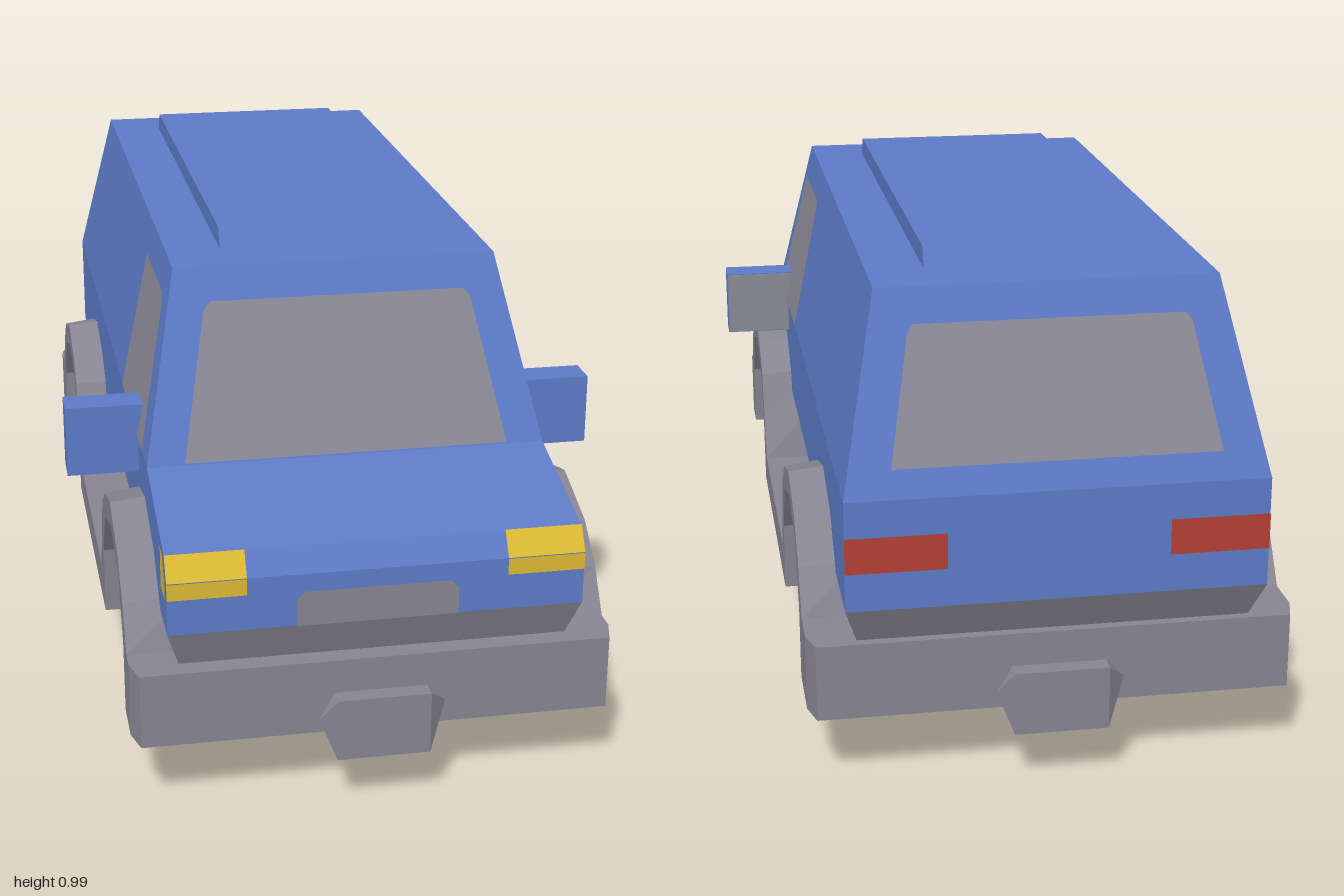
import * as THREE from 'three';
import { toCreasedNormals } from 'three/addons/utils/BufferGeometryUtils.js';
import { ConvexGeometry } from 'three/addons/geometries/ConvexGeometry.js';

const material = (name, color) => {
  const m = new THREE.MeshStandardMaterial({ color });
  m.name = name;
  return m;
};

export function createModel() {
  const van = new THREE.Group();
  van.name = 'van';
  const paint = material('blue paint', 0x5c7ac6);
  const trim = material('grey trim', 0x868491);
  const glass = material('window grey', 0x8a8996);
  const amber = material('headlight yellow', 0xdcb832);
  const red = material('tail light red', 0xb23f33);
  const rubber = material('tyre black', 0x2e2e30);

  const add = (name, geometry, mat, parent = van) => {
    const mesh = new THREE.Mesh(geometry, mat);
    mesh.name = name;
    parent.add(mesh);
    return mesh;
  };
  const box = (name, mat, w, h, d, x, y, z) =>
    add(name, new THREE.BoxGeometry(w, h, d).translate(x, y, z), mat);

  // Body shell: stacked rectangles [y, half width, front z, back z]
  const levels = [
    [0.2, 0.347, 0.866, -0.875], [0.37, 0.4, 0.93, -0.96], [0.475, 0.4, 0.93, -0.96],
    [0.52, 0.4, 0.9, -0.96], [0.585, 0.4, 0.635, -0.96], [0.945, 0.325, 0.49, -0.82],
  ];
  const rings = levels.map(([y, w, f, b]) => [[w, y, f], [w, y, b], [-w, y, b], [-w, y, f]]);
  const verts = [];
  const quad = (a, b, c, d) => verts.push(...a, ...b, ...c, ...a, ...c, ...d);
  for (let j = 0; j < rings.length - 1; j++) {
    for (let i = 0; i < 4; i++) {
      const k = (i + 1) % 4;
      quad(rings[j][i], rings[j][k], rings[j + 1][k], rings[j + 1][i]);
    }
  }
  quad(...rings[rings.length - 1]);
  const shell = new THREE.BufferGeometry();
  shell.setAttribute('position', new THREE.Float32BufferAttribute(verts, 3));
  shell.computeVertexNormals();
  shell.addGroup(0, 24, 0);
  shell.addGroup(24, verts.length / 3 - 24, 1);
  add('body', shell, [trim, paint]);

  // Raised roof panel with sloped ends
  const roof = new THREE.BoxGeometry(0.43, 0.045, 1.09);
  const rp = roof.attributes.position;
  for (let i = 0; i < rp.count; i++) if (rp.getY(i) > 0) rp.setZ(i, rp.getZ(i) * 0.953);
  roof.computeVertexNormals();
  add('roofPanel', roof.translate(0, 0.9625, -0.163), paint);

  // Flat painted panel: convex corners in counter-clockwise order, lifted off the body
  const panel = (name, mat, corners) => {
    const pts = corners.map((c) => new THREE.Vector3(...c));
    const n = new THREE.Triangle(pts[0], pts[1], pts[2]).getNormal(new THREE.Vector3());
    const tris = [];
    for (let i = 1; i < pts.length - 1; i++) tris.push(pts[0], pts[i], pts[i + 1]);
    const g = new THREE.BufferGeometry().setFromPoints(tris);
    g.translate(n.x * 0.003, n.y * 0.003, n.z * 0.003);
    g.computeVertexNormals();
    add(name, g, mat);
  };
  const pair = (name, mat, corners) => {
    panel(name + 'Left', mat, corners);
    panel(name + 'Right', mat, corners.map(([x, y, z]) => [-x, y, z]).reverse());
  };
  const rise = (y) => (y - 0.585) / 0.36;

  // Windows
  panel('windshield', glass,
    [[-0.325, 0.588], [0.325, 0.588], [0.27, 0.865], [0.255, 0.88], [-0.255, 0.88], [-0.27, 0.865]]
      .map(([x, y]) => [x, y, 0.635 - 0.145 * rise(y)]));
  panel('rearWindow', glass,
    [[0.31, 0.636], [-0.31, 0.636], [-0.267, 0.865], [-0.255, 0.88], [0.255, 0.88], [0.267, 0.865]]
      .map(([x, y]) => [x, y, -0.96 + 0.14 * rise(y)]));
  pair('sideWindow', glass,
    [[0.555, 0.588], [0.165, 0.588], [0.165, 0.88], [0.44, 0.88], [0.463, 0.86]]
      .map(([z, y]) => [0.4 - 0.075 * rise(y), y, z]));

  // Lights and grille
  pair('headlightLower', amber,
    [[0.25, 0.442, 0.93], [0.4, 0.442, 0.93], [0.4, 0.475, 0.93], [0.25, 0.475, 0.93]]);
  pair('headlightUpper', amber,
    [[0.25, 0.475, 0.93], [0.4, 0.475, 0.93], [0.4, 0.52, 0.9], [0.25, 0.52, 0.9]]);
  pair('headlightSide', amber,
    [[0.4, 0.442, 0.93], [0.4, 0.442, 0.865], [0.4, 0.525, 0.865], [0.4, 0.52, 0.9], [0.4, 0.475, 0.93]]);
  pair('tailLight', red,
    [[0.4, 0.445, -0.96], [0.21, 0.445, -0.96], [0.21, 0.515, -0.96], [0.4, 0.515, -0.96]]);
  panel('grille', trim,
    [[-0.155, 0.37], [0.155, 0.37], [0.155, 0.425], [0.14, 0.44], [-0.14, 0.44], [-0.155, 0.425]]
      .map(([x, y]) => [x, y, 0.93]));

  // Side trim: arches and sill in one profile (z, y)
  const wheelZ = [0.576, -0.534];
  const opening = [[-0.217, 0.145], [-0.21, 0.29], [-0.14, 0.4], [0, 0.442],
    [0.14, 0.4], [0.21, 0.29], [0.217, 0.145]];
  const outline = [
    [0.85, 0.145], [0.85, 0.295], [0.81, 0.39], [0.73, 0.455], [0.576, 0.505], [0.45, 0.475],
    [0.36, 0.42], [0.32, 0.34], [0.285, 0.22], [-0.25, 0.22], [-0.285, 0.34], [-0.325, 0.42],
    [-0.4, 0.47], [-0.534, 0.505], [-0.68, 0.465], [-0.77, 0.39], [-0.81, 0.295], [-0.85, 0.295],
    [-0.85, 0.145],
    ...opening.map(([z, y]) => [z + wheelZ[1], y]),
    ...opening.map(([z, y]) => [z + wheelZ[0], y]),
  ];
  const profile = new THREE.Shape(outline.map(([z, y]) => new THREE.Vector2(z, y)));
  for (const s of [1, -1]) {
    const g = new THREE.ExtrudeGeometry(profile, { depth: 0.12, bevelEnabled: false });
    g.rotateY(-Math.PI / 2).translate(s > 0 ? 0.47 : -0.35, 0, 0);
    // Pull the outer rim of each arch in so its top slopes
    const p = g.attributes.position;
    for (let i = 0; i < p.count; i++) {
      const y = p.getY(i), z = p.getZ(i), c = wheelZ[z > 0 ? 0 : 1];
      if (Math.abs(p.getX(i)) > 0.46 && y > 0.3 && Math.hypot(z - c, y - 0.22) > 0.25) {
        p.setZ(i, c + (z - c) * 0.93);
        p.setY(i, y - 0.013);
      }
    }
    g.computeVertexNormals();
    add(s > 0 ? 'sideTrimLeft' : 'sideTrimRight', g, trim);
  }

  // Floor, bumpers with clipped corners, and number plates
  box('floor', trim, 0.72, 0.13, 1.64, 0, 0.21, 0);
  const bumper = new THREE.Shape([[-0.47, 0.805], [0.47, 0.805], [0.47, 0.89], [0.455, 0.942],
    [-0.455, 0.942], [-0.47, 0.89]].map(([x, z]) => new THREE.Vector2(x, z)));
  const face = [[-0.125, 0.205], [-0.09, 0.24], [0.09, 0.24], [0.09, 0.115], [-0.09, 0.115]];
  const platePoints = face.flatMap(([x, y]) =>
    [new THREE.Vector3(x, y, 1), new THREE.Vector3(-x, y, 0.965)]);
  ['front', 'rear'].forEach((end, i) => {
    const g = new THREE.ExtrudeGeometry(bumper, { depth: 0.15, bevelEnabled: false });
    g.rotateX(Math.PI / 2).translate(0, 0.295, 0).rotateY(i * Math.PI);
    add(end + 'Bumper', g, trim);
    add(end + 'Plate', new ConvexGeometry(platePoints).rotateY(i * Math.PI), trim);
  });

  // Door mirrors with glass facing back
  for (const s of [1, -1]) {
    const side = s > 0 ? 'Left' : 'Right';
    box('mirror' + side, paint, 0.16, 0.145, 0.07, s * 0.465, 0.5825, 0.435);
    box('mirrorGlass' + side, glass, 0.156, 0.141, 0.004, s * 0.465, 0.5825, 0.399);
  }

  // Wheels: turned tyre and dished rim
  const turned = (pts) => toCreasedNormals(
    new THREE.LatheGeometry(pts.map(([r, y]) => new THREE.Vector2(r, y)), 24), 0.5)
    .rotateZ(-Math.PI / 2);
  const tyre = turned([[0, 0.187], [0.185, 0.187], [0.216, 0.255], [0.216, 0.37],
    [0.187, 0.437], [0.125, 0.437]]);
  const rim = turned([[0.135, 0.436], [0.125, 0.442], [0.09, 0.436], [0.082, 0.41],
    [0.062, 0.41], [0.056, 0.42], [0, 0.42]]);
  wheelZ.forEach((z, i) => {
    for (const s of [1, -1]) {
      const wheel = new THREE.Group();
      wheel.name = (i ? 'rear' : 'front') + 'Wheel' + (s > 0 ? 'Left' : 'Right');
      add('tyre', tyre, rubber, wheel);
      add('rim', rim, trim, wheel);
      wheel.position.set(0, 0.216, z);
      wheel.rotation.y = s > 0 ? 0 : Math.PI;
      van.add(wheel);
    }
  });
  return van;
}
